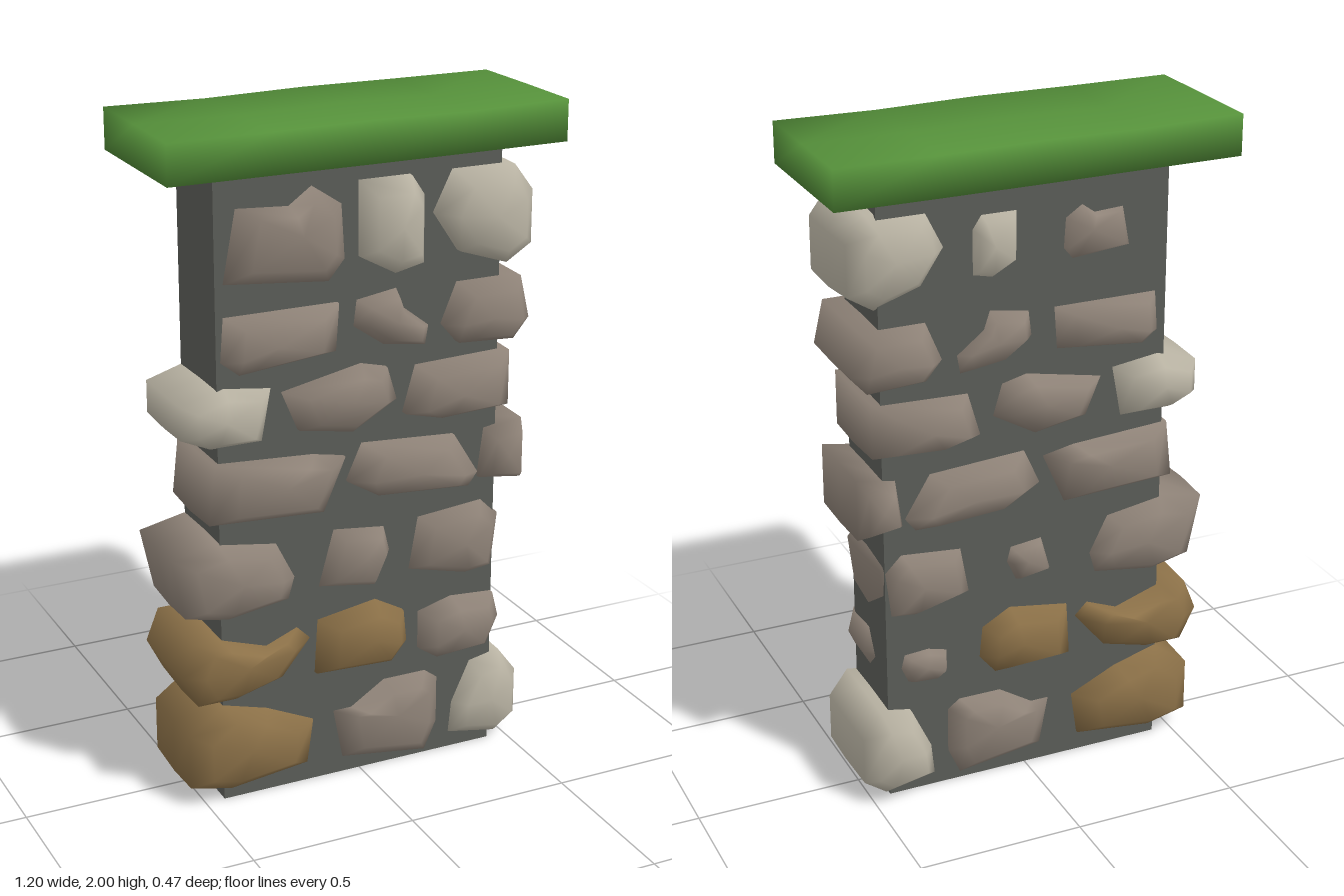
import * as THREE from 'three';
import { mergeVertices } from 'three/addons/utils/BufferGeometryUtils.js';

const mat = (name, color) => {
  const m = new THREE.MeshStandardMaterial({ color });
  m.name = name;
  return m;
};

// A stone runs through the wall: its outline (counter-clockwise x,y pairs) is
// lofted from the front face to the back face and rounded towards both.
function stoneGeometry(outline, front, back, backScale) {
  const n = outline.length / 2;
  let cx = 0, cy = 0;
  for (let i = 0; i < n; i++) {
    cx += outline[2 * i] / n;
    cy += outline[2 * i + 1] / n;
  }
  const rings = [
    [front, 0.68],
    [front - 0.045, 0.98],
    [0.03, 1],
    [back + 0.05, 0.97 * backScale],
    [back, 0.66 * backScale],
  ];
  const pos = [], index = [];
  for (const [z, s] of rings) {
    for (let i = 0; i < n; i++) {
      pos.push(cx + (outline[2 * i] - cx) * s, cy + (outline[2 * i + 1] - cy) * s, z);
    }
  }
  const frontMid = rings.length * n, backMid = frontMid + 1;
  pos.push(cx, cy, front + 0.006, cx, cy, back - 0.006);
  const last = (rings.length - 1) * n;
  for (let i = 0; i < n; i++) {
    const j = (i + 1) % n;
    for (let r = 0; r < last; r += n) {
      index.push(r + i, r + n + i, r + n + j, r + i, r + n + j, r + j);
    }
    index.push(frontMid, i, j, backMid, last + j, last + i);
  }
  const g = new THREE.BufferGeometry();
  g.setAttribute('position', new THREE.Float32BufferAttribute(pos, 3));
  g.setIndex(index);
  g.computeVertexNormals();
  return g;
}

export function createModel() {
  const group = new THREE.Group();
  const mortar = mat('dark mortar', 0x5a5c57);
  const grey = mat('grey stone', 0x8f8378);
  const pale = mat('pale stone', 0xbab4a4);
  const gold = mat('ochre stone', 0x8c7148);
  const green = mat('moss green', 0x55903a);

  const add = (name, geometry, material) => {
    const mesh = new THREE.Mesh(geometry, material);
    mesh.name = name;
    group.add(mesh);
    return mesh;
  };

  // Mortar core
  add('wallCore', new THREE.BoxGeometry(0.88, 1.89, 0.26), mortar).position.set(0, 0.945, 0.02);

  // Moss cap: soft-shaded slab with a slightly uneven top
  let cap = new THREE.BoxGeometry(1.2, 0.12, 0.47, 4, 1, 2);
  cap.deleteAttribute('uv');
  cap.deleteAttribute('normal');
  cap = mergeVertices(cap);
  const p = cap.attributes.position;
  for (let i = 0; i < p.count; i++) {
    const x = p.getX(i), z = p.getZ(i);
    if (p.getY(i) > 0) p.setY(i, 0.057 + 0.003 * Math.cos(x * 9 + z * 4));
    p.setZ(i, z * (1 + 0.012 * Math.cos(x * 4 - 0.6)));
  }
  cap.computeVertexNormals();
  add('mossCap', cap, green).position.y = 1.94;

  // Stones, course by course from the ground up
  const stone = (name, material, outline, front = 0.2, back = -0.155, backScale = 1) =>
    add(name, stoneGeometry(outline, front, back, backScale), material);

  stone('course1StoneRight', gold, [-0.55, 0.06, -0.42, 0.03, -0.17, 0.06, -0.15, 0.2, -0.3, 0.27, -0.44, 0.31, -0.55, 0.23], 0.2, -0.17);
  stone('course1StoneMiddle', grey, [-0.06, 0.05, 0.22, 0.01, 0.26, 0.1, 0.26, 0.25, 0.22, 0.28, 0.08, 0.28, -0.03, 0.21, -0.09, 0.21]);
  stone('course1StoneLeft', pale, [0.3, 0.05, 0.46, 0.02, 0.53, 0.07, 0.53, 0.22, 0.47, 0.3, 0.37, 0.28, 0.31, 0.15], 0.2, -0.18);

  stone('course2StoneRight', gold, [-0.57, 0.42, -0.52, 0.32, -0.4, 0.32, -0.25, 0.36, -0.16, 0.47, -0.2, 0.51, -0.3, 0.47, -0.45, 0.52, -0.53, 0.52], 0.2, -0.18);
  stone('course2StoneMiddle', gold, [-0.15, 0.35, 0.1, 0.34, 0.15, 0.4, 0.14, 0.5, 0.05, 0.55, -0.14, 0.52], 0.21, -0.165);
  stone('course2StoneLeft', grey, [0.19, 0.36, 0.25, 0.32, 0.42, 0.33, 0.46, 0.42, 0.44, 0.5, 0.3, 0.51, 0.19, 0.48], 0.21, -0.135, 0.65);

  stone('course3StoneRight', grey, [-0.59, 0.79, -0.55, 0.6, -0.42, 0.57, -0.22, 0.6, -0.2, 0.67, -0.26, 0.79, -0.45, 0.82], 0.19, -0.155);
  stone('course3StoneMiddle', grey, [-0.14, 0.62, 0.05, 0.59, 0.1, 0.7, 0.08, 0.78, -0.09, 0.8], 0.19, -0.135, 0.7);
  stone('course3StoneLeft', grey, [0.15, 0.62, 0.35, 0.57, 0.44, 0.58, 0.46, 0.75, 0.4, 0.81, 0.18, 0.79], 0.19, -0.145, 0.95);

  stone('course4StoneRight', grey, [-0.48, 0.88, -0.12, 0.86, -0.05, 1.02, -0.15, 1.04, -0.46, 1.06], 0.21, -0.165);
  stone('course4StoneMiddle', grey, [-0.05, 0.94, 0.05, 0.88, 0.35, 0.86, 0.38, 0.9, 0.3, 1.03, 0, 1.05], 0.21, -0.165);
  stone('course4StoneLeft', grey, [0.38, 0.88, 0.52, 0.86, 0.52, 1.05, 0.4, 1.03], 0.21, -0.16);

  stone('course5StoneRight', pale, [-0.55, 1.14, -0.46, 1.1, -0.3, 1.1, -0.27, 1.26, -0.42, 1.28, -0.55, 1.24], 0.19, -0.16);
  stone('course5StoneMiddle', grey, [-0.25, 1.24, -0.2, 1.12, -0.03, 1.09, 0.11, 1.17, 0.08, 1.27, 0, 1.29], 0.21, -0.155);
  stone('course5StoneLeft', grey, [0.13, 1.12, 0.25, 1.09, 0.47, 1.1, 0.47, 1.27, 0.17, 1.26], 0.22, -0.155);

  stone('course6StoneRight', grey, [-0.43, 1.35, -0.38, 1.31, -0.08, 1.34, -0.07, 1.48, -0.42, 1.48], 0.21, -0.15);
  stone('course6StoneMiddle', grey, [-0.03, 1.4, 0.07, 1.33, 0.21, 1.31, 0.22, 1.37, 0.13, 1.44, 0.11, 1.5, -0.02, 1.48], 0.19, -0.15);
  stone('course6StoneLeft', grey, [0.25, 1.37, 0.3, 1.31, 0.48, 1.3, 0.53, 1.36, 0.5, 1.49, 0.3, 1.49], 0.22, -0.16);

  stone('course7StoneRight', grey, [-0.42, 1.57, -0.1, 1.54, -0.05, 1.6, -0.06, 1.76, -0.15, 1.82, -0.22, 1.77, -0.38, 1.78], 0.2, -0.13, 0.7);
  stone('course7StoneMiddle', pale, [-0.01, 1.6, 0.1, 1.54, 0.19, 1.56, 0.19, 1.76, 0.15, 1.82, -0.01, 1.82], 0.21, -0.135, 0.8);
  stone('course7StoneLeft', pale, [0.22, 1.7, 0.3, 1.58, 0.45, 1.53, 0.53, 1.58, 0.53, 1.74, 0.47, 1.82, 0.28, 1.82], 0.22, -0.145, 0.97);

  return group;
}
